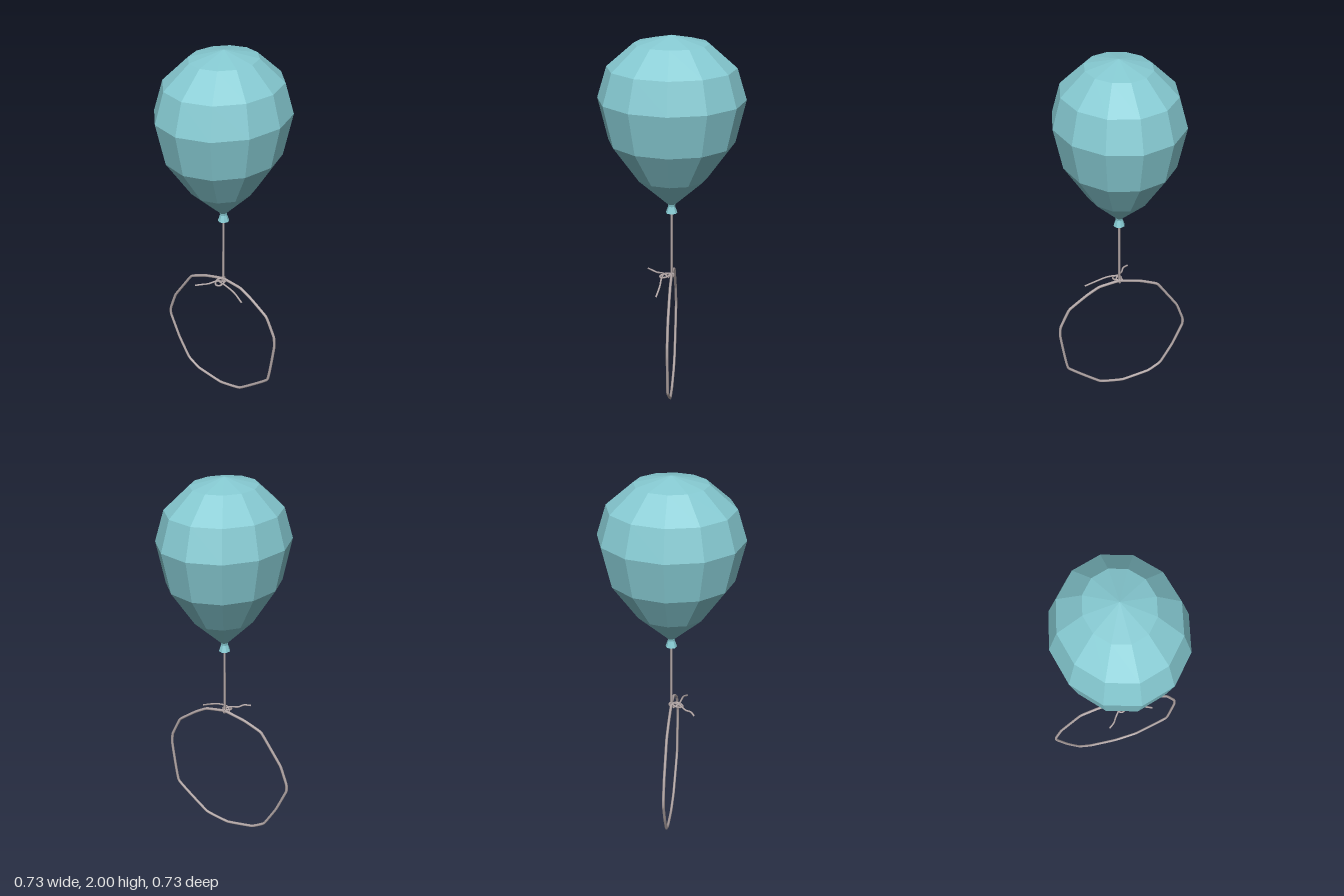
import * as THREE from 'three';

const CX = 0.018; // string and balloon axis

export function createModel() {
  const model = new THREE.Group();
  const rubber = new THREE.MeshStandardMaterial({ color: 0x86cad2, flatShading: true, side: THREE.DoubleSide });
  const twine = new THREE.MeshStandardMaterial({ color: 0xb5a9a9 });

  const add = (name, geometry, material) => {
    const mesh = new THREE.Mesh(geometry, material);
    mesh.name = name;
    model.add(mesh);
    return mesh;
  };
  const lathe = (name, profile, segments) => {
    const points = profile.map(([r, y]) => new THREE.Vector2(r, y));
    const mesh = add(name, new THREE.LatheGeometry(points, segments), rubber);
    mesh.position.x = CX;
    return mesh;
  };
  const cord = (name, points, radius, closed = false, tension = 0.5, steps = 8) => {
    const curve = new THREE.CatmullRomCurve3(points.map((p) => new THREE.Vector3(...p)), closed, 'catmullrom', tension);
    return add(name, new THREE.TubeGeometry(curve, points.length * steps, radius, 6, closed), twine);
  };

  // Faceted balloon, slightly narrower from side to side
  const balloon = lathe('balloon', [
    [0.012, 1.13], [0.182, 1.285], [0.316, 1.475], [0.365, 1.69],
    [0.316, 1.845], [0.182, 1.96], [0, 2],
  ], 12);
  balloon.scale.x = 0.89;

  // Flared neck and the rolled lip where it is tied
  lathe('balloonNeck', [[0, 1.115], [0.03, 1.09], [0.018, 1.125], [0.02, 1.138], [0.012, 1.148]], 8);

  // Straight string from neck to hoop
  cord('string', [[CX, 0.725, 0], [CX, 0.92, 0], [CX, 1.12, 0]], 0.006);

  // Irregular hoop of string
  const hoop = [
    [0.018, 0.731], [0.13, 0.715], [0.2, 0.675], [0.3, 0.6], [0.352, 0.49], [0.356, 0.426],
    [0.32, 0.188], [0.135, 0.035], [0, 0.009], [-0.156, 0.035], [-0.23, 0.08], [-0.3, 0.2],
    [-0.358, 0.336], [-0.358, 0.378], [-0.32, 0.484], [-0.26, 0.574], [-0.2, 0.66], [-0.1, 0.703],
  ];
  cord('hoop', hoop.map(([x, y]) => [x, y, 0]), 0.0075, true, 0.12);

  // Knot: a wrap round the hoop, a small eye and two loose tails
  const wrap = add('knotWrap', new THREE.TorusGeometry(0.011, 0.005, 6, 12), twine);
  wrap.position.set(CX, 0.731, 0);
  wrap.rotation.y = Math.PI / 2;
  cord('knotEye', [
    [0.018, 0.735, 0.005], [0.042, 0.73, 0.025], [0.036, 0.722, 0.055],
    [0.012, 0.722, 0.06], [-0.002, 0.73, 0.03],
  ], 0.005, true);
  cord('leftTail', [
    [-0.005, 0.725, 0.01], [0.02, 0.735, 0.04], [0.07, 0.733, 0.05],
    [0.13, 0.715, 0.055], [0.19, 0.685, 0.07],
  ], 0.005);
  cord('rightTail', [
    [0.04, 0.725, 0.01], [0.01, 0.735, 0.045], [-0.02, 0.725, 0.08],
    [-0.04, 0.728, 0.11], [-0.07, 0.722, 0.132],
  ], 0.005);

  return model;
}
